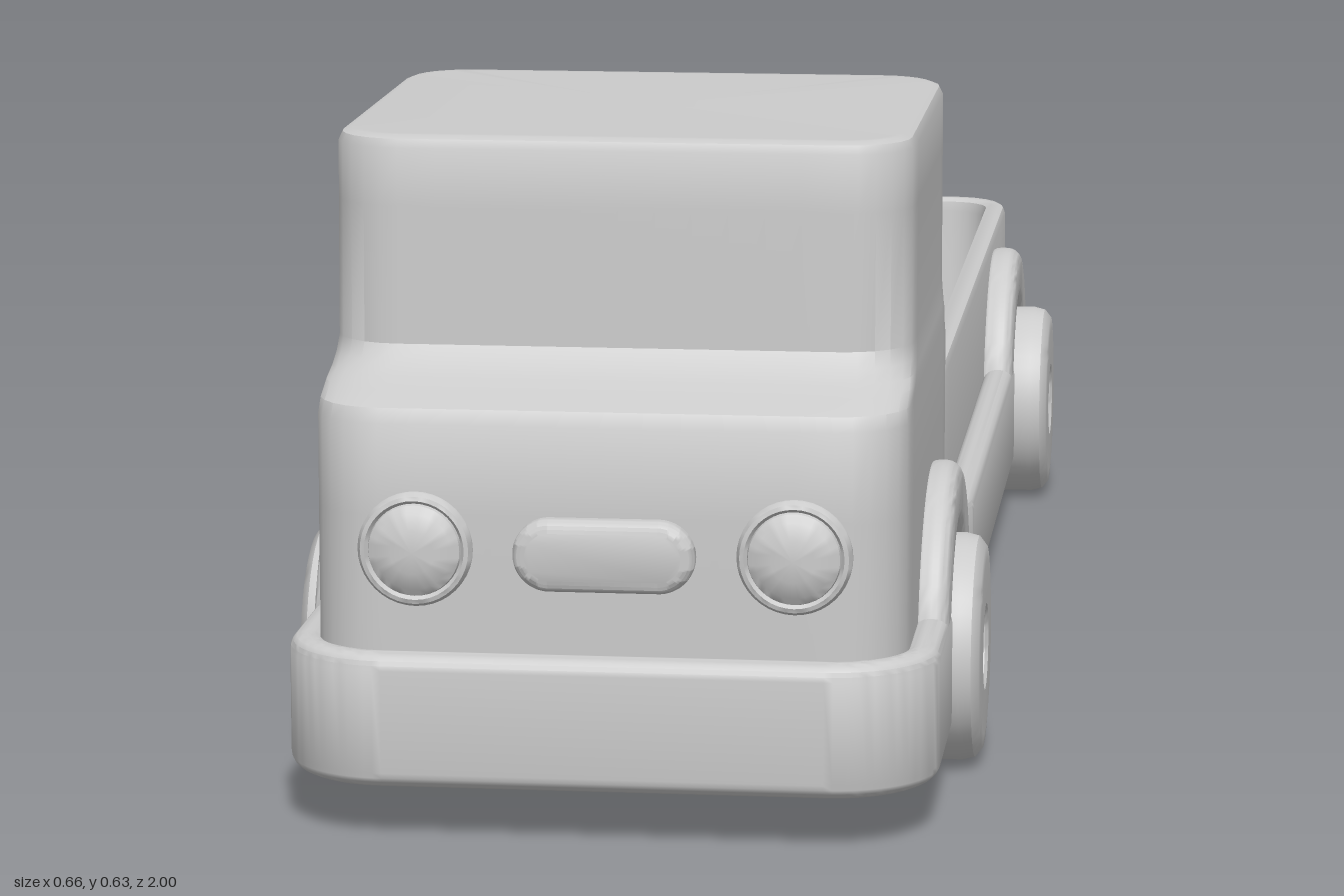
import * as THREE from 'three';
import { toCreasedNormals } from 'three/addons/utils/BufferGeometryUtils.js';

const mat = new THREE.MeshStandardMaterial({ color: 0xcccccc });
const shellMat = new THREE.MeshStandardMaterial({ color: 0xcccccc, side: THREE.DoubleSide });
const WHEEL_Y = 0.111;

function add(parent, name, geo, material = mat) {
  const mesh = new THREE.Mesh(geo, material);
  mesh.name = name;
  parent.add(mesh);
  return mesh;
}

// Rounded rectangle in plan: four corner arcs joined by subdivided edges
function ring(w, zb, zf, r) {
  const pts = [];
  const centres = [[w - r, zb + r], [r - w, zb + r], [r - w, zf - r], [w - r, zf - r]];
  centres.forEach(([cx, cz], k) => {
    for (let i = 0; i <= 6; i++) {
      const a = (k + i / 6) * Math.PI / 2;
      pts.push([cx + r * Math.cos(a), cz - r * Math.sin(a)]);
    }
    const [x0, z0] = pts[pts.length - 1];
    const next = centres[(k + 1) % 4], a = (k + 1) * Math.PI / 2;
    const x1 = next[0] + r * Math.cos(a), z1 = next[1] - r * Math.sin(a);
    for (let i = 1; i < 12; i++) pts.push([x0 + (x1 - x0) * i / 12, z0 + (z1 - z0) * i / 12]);
  });
  return pts;
}

// Skin through rows of [y, halfWidth, zBack, zFront, radius]
function loft(rows, { skip = () => false, bend = (x, y) => y } = {}) {
  const pos = [], index = [], n = 72;
  rows.forEach(([y, w, zb, zf, r], i) => {
    for (const [x, z] of ring(w, zb, zf, r)) pos.push(x, bend(x, y, z, i), z);
  });
  for (let i = 0; i < rows.length - 1; i++) {
    for (let j = 0; j < n; j++) {
      const a = i * n + j, b = i * n + (j + 1) % n;
      if (skip((pos[3 * a] + pos[3 * b]) / 2, (rows[i][0] + rows[i + 1][0]) / 2, pos[3 * a + 2])) continue;
      index.push(a, b, b + n, a, b + n, a + n);
    }
  }
  const geo = new THREE.BufferGeometry();
  geo.setAttribute('position', new THREE.Float32BufferAttribute(pos, 3));
  geo.setIndex(index);
  return toCreasedNormals(geo, 0.6);
}

// Extrusion with rounded edges that keeps its outline size
function roundedExtrude(shape, depth, bevel) {
  const geo = new THREE.ExtrudeGeometry(shape, {
    depth: depth - 2 * bevel, bevelThickness: bevel, bevelSize: bevel, bevelOffset: -bevel,
    bevelSegments: 5, curveSegments: 20,
  });
  geo.translate(0, 0, bevel);
  return toCreasedNormals(geo, 0.6);
}

// U-shaped skirt running from one wheel gap round the end of the body
function skirt(w, zEnd, zCut, r = 0.1, t = 0.034) {
  const s = Math.sign(zEnd - zCut), shape = new THREE.Shape();
  const corner = (x0, z0, cx, cz, x1, z1) => {
    const k = 0.55;
    shape.lineTo(x0, -z0);
    shape.bezierCurveTo(x0 + (cx - x0) * k, -(z0 + (cz - z0) * k),
      x1 + (cx - x1) * k, -(z1 + (cz - z1) * k), x1, -z1);
  };
  const wi = w - t, zi = zEnd - s * t, ri = r - t;
  shape.moveTo(w, -zCut);
  corner(w, zEnd - s * r, w, zEnd, w - r, zEnd);
  corner(r - w, zEnd, -w, zEnd, -w, zEnd - s * r);
  shape.lineTo(-w, -zCut);
  shape.lineTo(-wi, -zCut);
  corner(-wi, zi - s * ri, -wi, zi, ri - wi, zi);
  corner(wi - ri, zi, wi, zi, wi, zi - s * ri);
  shape.lineTo(wi, -zCut);
  shape.closePath();
  const geo = roundedExtrude(shape, 0.126, 0.015);
  geo.rotateX(-Math.PI / 2);
  geo.translate(0, 0.05, 0);
  return geo;
}

// Mirrored wheels and mudguard arches at one axle
function axle(parent, z, archIn, archOut) {
  const arch = new THREE.Shape();
  arch.absarc(0, 0, 0.18, 0, Math.PI, false);
  arch.absarc(0, 0, 0.117, Math.PI, 0, true);
  arch.closePath();
  const archGeo = roundedExtrude(arch, archOut - archIn, 0.016);
  archGeo.translate(0, 0, archIn);

  const profile = [[0, 0.25], [0.098, 0.25], [0.106, 0.253], [0.11, 0.262], [0.11, 0.308],
    [0.107, 0.32], [0.098, 0.327], [0.085, 0.328], [0.042, 0.328], [0.038, 0.325], [0.036, 0.312],
    [0.033, 0.312], [0.031, 0.32], [0.026, 0.324], [0, 0.326]];
  const wheelGeo = toCreasedNormals(new THREE.LatheGeometry(
    profile.map(([r, h]) => new THREE.Vector2(r, h)), 48), 0.6);
  wheelGeo.rotateX(Math.PI / 2);

  for (const side of [1, -1]) {
    const name = side > 0 ? 'left' : 'right';
    for (const [part, geo] of [['Mudguard', archGeo], ['Wheel', wheelGeo]]) {
      const mesh = add(parent, name + part, geo);
      mesh.rotation.y = side * Math.PI / 2;
      mesh.position.set(0, WHEEL_Y, z);
    }
  }
}

// Rounded plate lying in the xy plane
function plate(w, h, r, depth, bevel) {
  const s = new THREE.Shape(), x = w / 2 - r, y = h / 2 - r;
  s.absarc(x, y, r, 0, Math.PI / 2);
  s.absarc(-x, y, r, Math.PI / 2, Math.PI);
  s.absarc(-x, -y, r, Math.PI, Math.PI * 1.5);
  s.absarc(x, -y, r, Math.PI * 1.5, Math.PI * 2);
  s.closePath();
  return roundedExtrude(s, depth, bevel);
}

function buildCab() {
  const cab = new THREE.Group(), axleZ = 0.633, back = 0.378;
  cab.name = 'cab';
  const row = (y, w, zf, inset = 0) => [y, w - inset, back + inset, zf - inset, 0.065 - inset];
  const rows = [
    row(0.12, 0.274, 0.97), row(0.3, 0.274, 0.97), row(0.385, 0.274, 0.968), row(0.398, 0.273, 0.96),
    row(0.409, 0.273, 0.93), row(0.417, 0.272, 0.905), row(0.428, 0.271, 0.885), row(0.442, 0.27, 0.874),
    row(0.57, 0.27, 0.87), row(0.624, 0.27, 0.868), row(0.632, 0.27, 0.868, 0.004),
    row(0.635, 0.27, 0.868, 0.012), row(0.635, 0.27, 0.868, 0.02), [0.635, 0, 0.62, 0.62, 0],
  ];
  // Open rear window, and a lower edge raised over the wheels
  add(cab, 'cabBody', loft(rows, {
    skip: (x, y, z) => Math.abs(x) < 0.135 && y > 0.442 && y < 0.57 && z < back + 0.01,
    bend: (x, y, z, i) => {
      const dz = z - axleZ;
      return i === 0 && Math.abs(x) > 0.25 && Math.abs(dz) < 0.12
        ? Math.max(y, WHEEL_Y + Math.sqrt(0.0144 - dz * dz)) : y;
    },
  }), shellMat);

  // Recessed rear window
  const frame = new THREE.BoxGeometry(0.276, 0.128, 0.012);
  frame.setIndex([...frame.index.array].slice(0, 30)); // drop the outer face
  add(cab, 'rearWindow', frame, shellMat).position.set(0, 0.506, back + 0.006);

  add(cab, 'frontBumper', skirt(0.303, 1.0, axleZ + 0.116));
  add(cab, 'rearCabSkirt', skirt(0.303, 0.348, axleZ - 0.116));
  axle(cab, axleZ, 0.265, 0.302);

  // Headlights with bezels, and the grille
  const lampGeo = toCreasedNormals(new THREE.LatheGeometry(
    [[0, 0], [0.05, 0], [0.053, 0.004], [0.053, 0.014], [0.05, 0.019], [0.046, 0.02], [0.043, 0.016],
      [0.042, 0.02], [0.035, 0.026], [0.02, 0.031], [0, 0.033]]
      .map(([r, h]) => new THREE.Vector2(r, h)), 40), 0.6);
  lampGeo.rotateX(Math.PI / 2);
  for (const side of [1, -1]) {
    add(cab, side > 0 ? 'leftHeadlight' : 'rightHeadlight', lampGeo)
      .position.set(side * 0.174, 0.27, 0.96);
  }
  add(cab, 'grille', plate(0.168, 0.068, 0.034, 0.03, 0.012)).position.set(0, 0.268, 0.957);
  return cab;
}

function buildBed() {
  const bed = new THREE.Group(), axleZ = -0.644;
  bed.name = 'cargoBed';
  // Tray section, from the underside up the outside, over the rim and down to the floor
  const section = [[0.105, 0.01], [0.105, 0], [0.296, 0], [0.303, 0.003], [0.306, 0.008], [0.306, 0.018],
    [0.302, 0.024], [0.29, 0.026], [0.145, 0.028], [0.132, 0.031], [0.123, 0.038], [0.12, 0.047],
    [0.12, 0.055]];
  const middle = (y) => [y, 0, -0.33, -0.33, 0];
  add(bed, 'tray', loft([
    middle(0.105),
    ...section.map(([y, d]) => [y, 0.258 - d, -0.965 + d, 0.304 - d, 0.07 - d]),
    middle(0.12),
  ]));
  add(bed, 'frontBedSkirt', skirt(0.291, 0.325, axleZ + 0.116));
  add(bed, 'rearBumper', skirt(0.291, -1.0, axleZ - 0.116));
  axle(bed, axleZ, 0.25, 0.29);

  // Tail lights and the plate between them
  for (const [name, x, w, z] of [['leftTailLight', 0.167, 0.06, -0.972],
    ['tailPlate', 0, 0.195, -0.977], ['rightTailLight', -0.167, 0.06, -0.972]]) {
    add(bed, name, plate(w, 0.067, 0.009, 0.02, 0.004)).position.set(x, 0.218, z);
  }
  return bed;
}

export function createModel() {
  const model = new THREE.Group();
  model.name = 'flatbedTruck';
  model.add(buildCab(), buildBed());
  return model;
}
